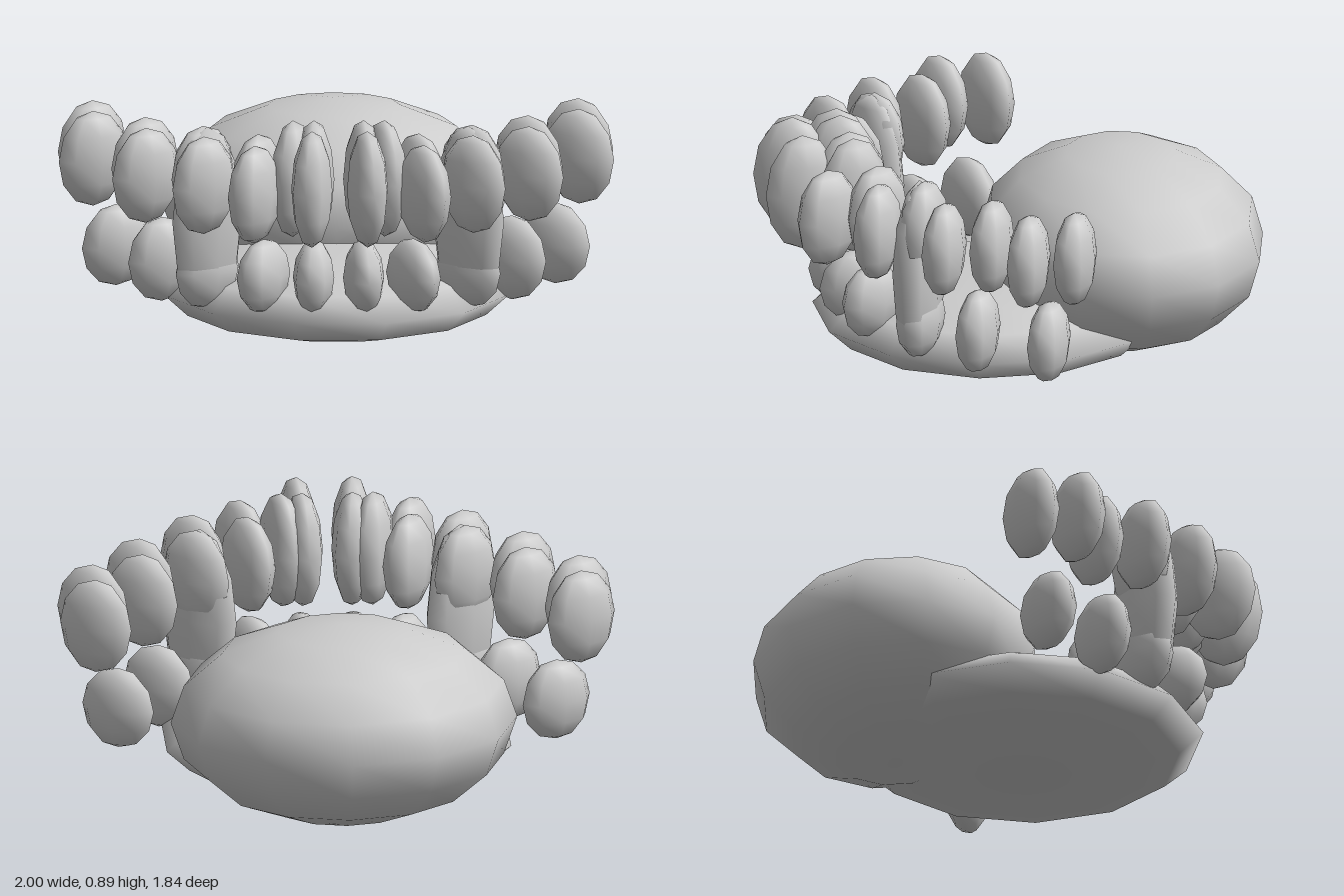
import * as THREE from 'three';

const grey = new THREE.MeshStandardMaterial({ color: 0xcccccc });
grey.name = 'light grey';

// Smooth low-sided ellipsoid
function ellipsoid(name, [x, y, z], [rx, ry, rz], segments, rings, turn = 0) {
  const mesh = new THREE.Mesh(new THREE.SphereGeometry(1, segments, rings), grey);
  mesh.name = name;
  mesh.position.set(x, y, z);
  mesh.scale.set(rx, ry, rz);
  mesh.rotation.y = THREE.MathUtils.degToRad(turn);
  return mesh;
}

// Petals on the left side: x, y, z, height radius, angle of the long axis from x towards z
const upperPetals = [
  [0.875, 0.64, -0.07, 0.175, 27], [0.875, 0.64, 0.1, 0.175, 27],
  [0.69, 0.64, 0.2, 0.175, 29], [0.69, 0.64, 0.375, 0.175, 29],
  [0.485, 0.65, 0.41, 0.18, 35], [0.485, 0.65, 0.58, 0.18, 35],
  [0.29, 0.65, 0.545, 0.18, 58], [0.305, 0.65, 0.73, 0.18, 58],
  [0.165, 0.68, 0.61, 0.215, 72], [0.1, 0.68, 0.785, 0.215, 80],
  [0.09, 0.68, 0.61, 0.215, 82],
];
const lowerPetals = [
  [0.79, 0.3, 0.01, 0.15, 27], [0.63, 0.3, 0.24, 0.155, 29],
  [0.47, 0.3, 0.42, 0.14, 35], [0.27, 0.31, 0.56, 0.135, 58],
  [0.09, 0.31, 0.585, 0.135, 82],
];

export function createModel() {
  const model = new THREE.Group();
  model.name = 'petalledModel';

  // Large rear body and shallow round base
  model.add(ellipsoid('rearBody', [0, 0.38, -0.4], [0.625, 0.365, 0.52], 12, 8));
  model.add(ellipsoid('base', [0, 0.163, 0.07], [0.642, 0.16, 0.652], 12, 6, 15));

  // Mirrored rows of petals around the front
  for (const [rowName, row] of [['upperPetal', upperPetals], ['lowerPetal', lowerPetals]]) {
    const group = new THREE.Group();
    group.name = rowName + 's';
    for (const side of [-1, 1]) {
      for (const [x, y, z, height, angle] of row) {
        group.add(ellipsoid(rowName, [side * x, y, z], [0.14, height, 0.075], 8, 6, -side * angle));
      }
    }
    model.add(group);
  }

  // Tall petals joining the two rows
  for (const side of [-1, 1]) {
    model.add(ellipsoid('tallPetal', [side * 0.47, 0.495, 0.425], [0.155, 0.335, 0.08], 8, 6, -side * 35));
  }
  return model;
}
